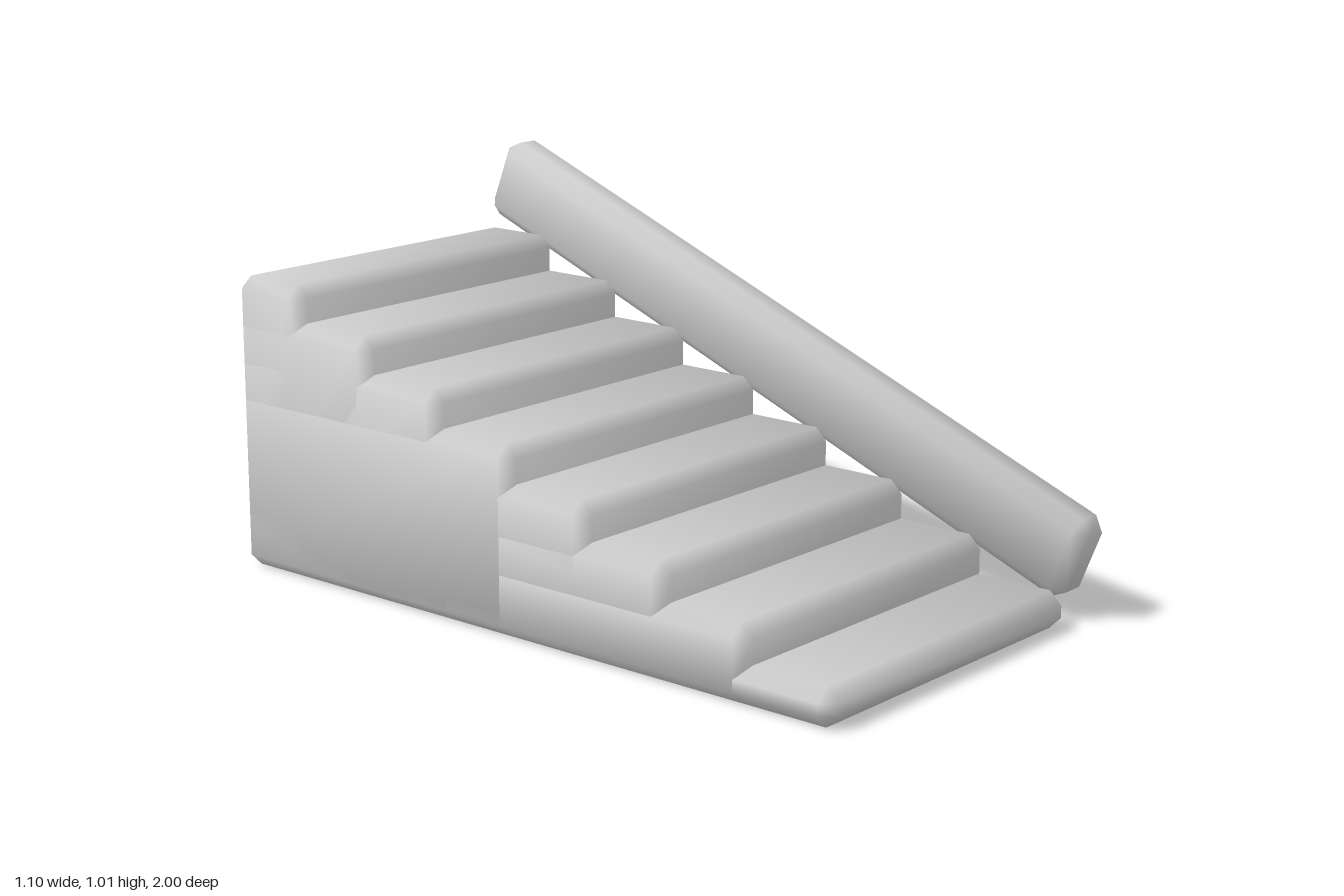
import * as THREE from 'three';
import { ConvexGeometry } from 'three/addons/geometries/ConvexGeometry.js';

const BEVEL = 0.033;

// Box with a single-cut bevel on every edge. Each corner point's normal is the
// even average of the face, two bevels and corner triangle that meet there, so
// the shading rolls softly across the whole block.
function bevelledBox(w, h, d) {
  const half = [w / 2, h / 2, d / 2];
  const points = [];
  for (const sx of [-1, 1]) for (const sy of [-1, 1]) for (const sz of [-1, 1]) {
    for (let face = 0; face < 3; face++) {
      const p = half.map((v, axis) => (axis === face ? v : v - BEVEL));
      points.push(new THREE.Vector3(sx * p[0], sy * p[1], sz * p[2]));
    }
  }
  const geometry = new ConvexGeometry(points);
  const { position, normal } = geometry.attributes;
  for (let i = 0; i < position.count; i++) {
    const n = half.map((v, axis) => {
      const c = position.getComponent(i, axis);
      return Math.sign(c) * (Math.abs(c) > v - BEVEL / 2 ? 0.855 : 0.367);
    });
    normal.setXYZ(i, ...n);
  }
  return geometry;
}

export function createModel() {
  const group = new THREE.Group();
  const material = new THREE.MeshStandardMaterial({ color: 0xcccccc });

  // Steps: solid blocks sharing the same back and floor, each taller and shorter in depth
  const count = 8, rise = 0.0972, run = 0.2425, left = 0.422, right = -0.55, back = -0.97;
  const steps = new THREE.Group();
  steps.name = 'steps';
  for (let i = 0; i < count; i++) {
    const height = rise * (i + 1);
    const depth = run * (count - i);
    const step = new THREE.Mesh(bevelledBox(left - right, height, depth), material);
    step.name = `step${i + 1}`;
    step.position.set((left + right) / 2, height / 2, back + depth / 2);
    steps.add(step);
  }
  group.add(steps);

  // Sloping side rail along the left of the flight
  const rail = new THREE.Mesh(bevelledBox(0.124, 0.229, 2.088), material);
  rail.name = 'sideRail';
  rail.position.set(0.486, 0.536, 0);
  rail.rotation.x = THREE.MathUtils.degToRad(21.6);
  group.add(rail);

  return group;
}
